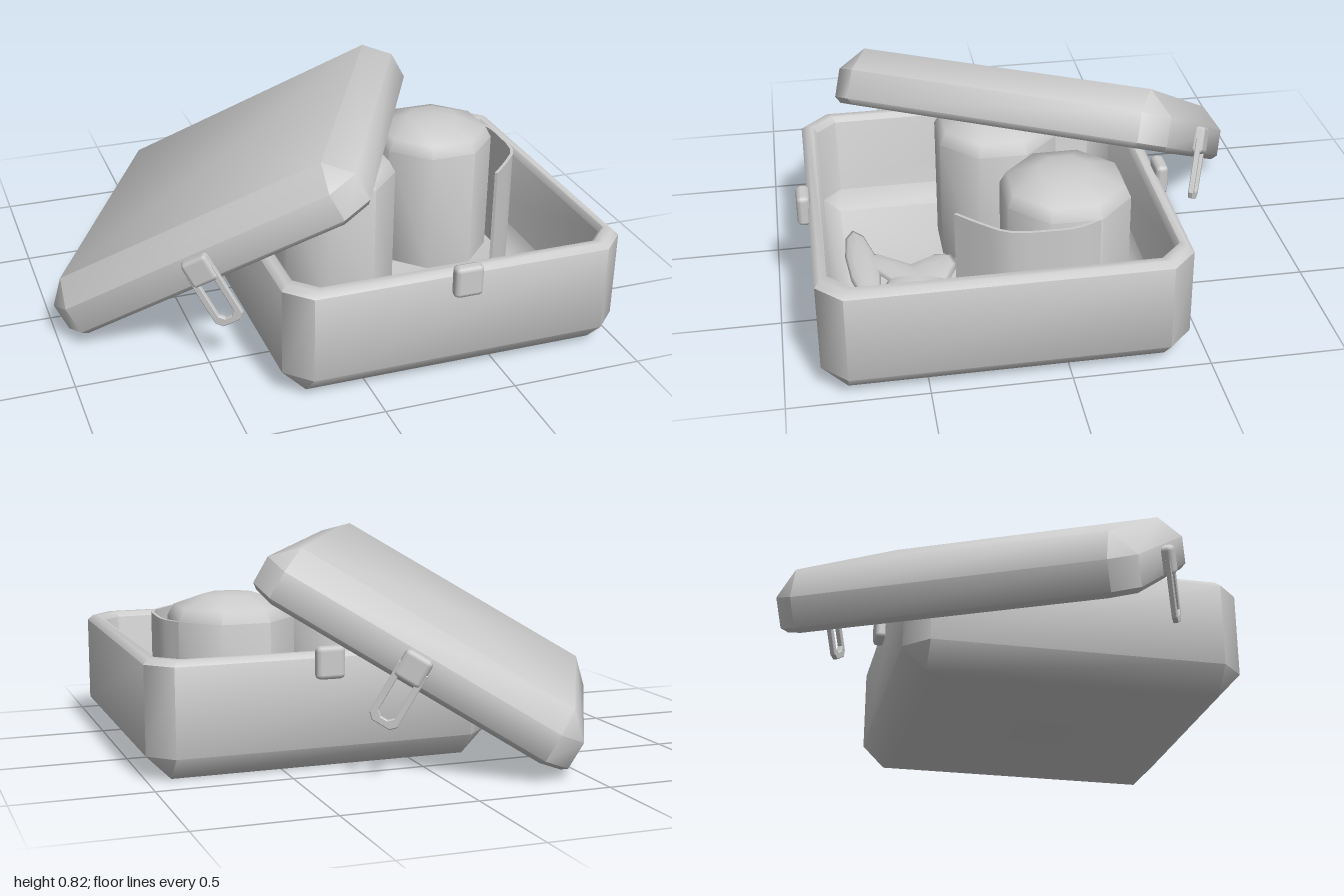
import * as THREE from 'three';
import { toCreasedNormals } from 'three/addons/utils/BufferGeometryUtils.js';
import { RoundedBoxGeometry } from 'three/addons/geometries/RoundedBoxGeometry.js';

const HALF = 0.655;
const grey = new THREE.MeshStandardMaterial({ color: 0xcccccc, side: THREE.DoubleSide });

function add(parent, name, geometry, x = 0, y = 0, z = 0) {
  const mesh = new THREE.Mesh(geometry, grey);
  mesh.name = name;
  mesh.position.set(x, y, z);
  parent.add(mesh);
  return mesh;
}

// Square ring with cut corners
function ring(w, cut, y) {
  const k = w - cut;
  return [[w, -k], [w, k], [k, w], [-k, w], [-w, k], [-w, -k], [-k, -w], [k, -w]]
    .map(([x, z]) => [x, y, z]);
}

// Open tub lofted from the outer base, over the rim and down to the inner floor
function tubGeometry(h) {
  const sections = [
    [0, HALF, 0], [0, 0.09, 0], [0.09, 0, 0.09], [h - 0.02, 0, 0.09], [h, 0.02, 0.085],
    [h, 0.045, 0.08], [h - 0.02, 0.06, 0.075], [0.11, 0.065, 0.075], [0.045, 0.13, 0], [0.045, HALF, 0],
  ];
  const rings = sections.map(([y, inset, cut]) => ring(HALF - inset, cut, y));
  const index = [];
  for (let i = 0; i < rings.length - 1; i++) {
    for (let j = 0; j < 8; j++) {
      const a = i * 8 + j, b = i * 8 + (j + 1) % 8;
      index.push(a, a + 8, b, b, a + 8, b + 8);
    }
  }
  const g = new THREE.BufferGeometry();
  g.setAttribute('position', new THREE.Float32BufferAttribute(rings.flat(2), 3));
  g.setIndex(index);
  return toCreasedNormals(g, 0.87);
}

// Rectangular wire loop of the latch
function loopGeometry(w, h, t) {
  const rect = (Path, x, y) => new Path([
    [-x, -y + 0.02], [-x + 0.02, -y], [x - 0.02, -y], [x, -y + 0.02], [x, y], [-x, y],
  ].map(([px, py]) => new THREE.Vector2(px, py)));
  const shape = rect(THREE.Shape, w / 2, h / 2);
  shape.holes.push(rect(THREE.Path, w / 2 - t, h / 2 - t));
  const g = new THREE.ExtrudeGeometry(shape, { depth: 0.014, bevelSize: 0.003, bevelThickness: 0.003, bevelSegments: 1 });
  return g.translate(0, 0, -0.007);
}

// Thin upright band following a curve on the floor plan
function bandGeometry(points, y0, y1, thickness) {
  const curve = new THREE.CatmullRomCurve3(points.map(([x, z]) => new THREE.Vector3(x, 0, z)));
  const n = 12, outer = [], inner = [];
  for (let i = 0; i <= n; i++) {
    const p = curve.getPoint(i / n), t = curve.getTangent(i / n);
    outer.push(new THREE.Vector2(p.x, -p.z));
    inner.unshift(new THREE.Vector2(p.x - t.z * thickness, -(p.z + t.x * thickness)));
  }
  const g = new THREE.ExtrudeGeometry(new THREE.Shape([...outer, ...inner]), { depth: y1 - y0, bevelEnabled: false });
  return toCreasedNormals(g.rotateX(-Math.PI / 2).translate(0, y0, 0), 0.6);
}

export function createModel() {
  const model = new THREE.Group();
  model.name = 'lunchBox';

  // Base with a catch on the front and back
  const base = new THREE.Group();
  base.name = 'base';
  base.position.set(0.345, 0, 0.215);
  model.add(base);
  add(base, 'baseTub', tubGeometry(0.44));
  for (const s of [1, -1]) {
    add(base, 'catch', new RoundedBoxGeometry(0.11, 0.12, 0.05, 1, 0.018), 0, 0.405, s * (HALF + 0.015));
  }

  // Lid leaning over the base, turned and tilted
  const lid = new THREE.Group();
  lid.name = 'lid';
  lid.position.set(-0.175, 0.34, -0.075);
  lid.rotation.set(0.01, -0.5, 0.518, 'YZX');
  model.add(lid);
  add(lid, 'lidShell', tubGeometry(0.22), 0, 0.22, 0).rotation.x = Math.PI;
  for (const s of [1, -1]) {
    const latch = new THREE.Group();
    latch.name = 'latch';
    latch.position.set(0, 0, s * (HALF + 0.015));
    lid.add(latch);
    add(latch, 'latchBlock', new RoundedBoxGeometry(0.11, 0.11, 0.05, 1, 0.018), 0, 0.07, 0);
    add(latch, 'latchLoop', loopGeometry(0.11, 0.23, 0.02), 0, -0.045, s * 0.005);
  }

  // Two eight-sided jars with domed tops
  const profile = [[0, 0.045], [0.24, 0.045], [0.24, 0.53], [0.215, 0.575], [0.1, 0.615], [0, 0.622]]
    .map(([r, y]) => new THREE.Vector2(r, y));
  for (const [x, z] of [[0.11, 0.14], [0.6, -0.04]]) {
    const g = new THREE.LatheGeometry(profile, 8, Math.PI / 8);
    add(model, 'jar', toCreasedNormals(g, 0.87), x, 0, z);
  }

  // Curved divider beside the right-hand jar
  add(model, 'divider', bandGeometry(
    [[0.82, -0.13], [0.86, -0.04], [0.865, 0.06], [0.85, 0.2], [0.78, 0.29], [0.7, 0.37]], 0.045, 0.53, 0.012));

  // Flat pieces lying on the floor: x, z, half length, half width, turn
  const pieces = [
    [0.41, 0.47, 0.33, 0.07, 0.76], [0.7, 0.59, 0.16, 0.09, -0.7],
    [0.27, 0.68, 0.27, 0.06, 0.08], [0.4, 0.48, 0.22, 0.1, -0.75],
  ];
  for (const [x, z, length, width, turn] of pieces) {
    const piece = add(model, 'floorPiece', new THREE.SphereGeometry(1, 10, 6), x, 0.06, z);
    piece.scale.set(length, 0.025, width);
    piece.rotation.y = turn;
  }
  return model;
}
